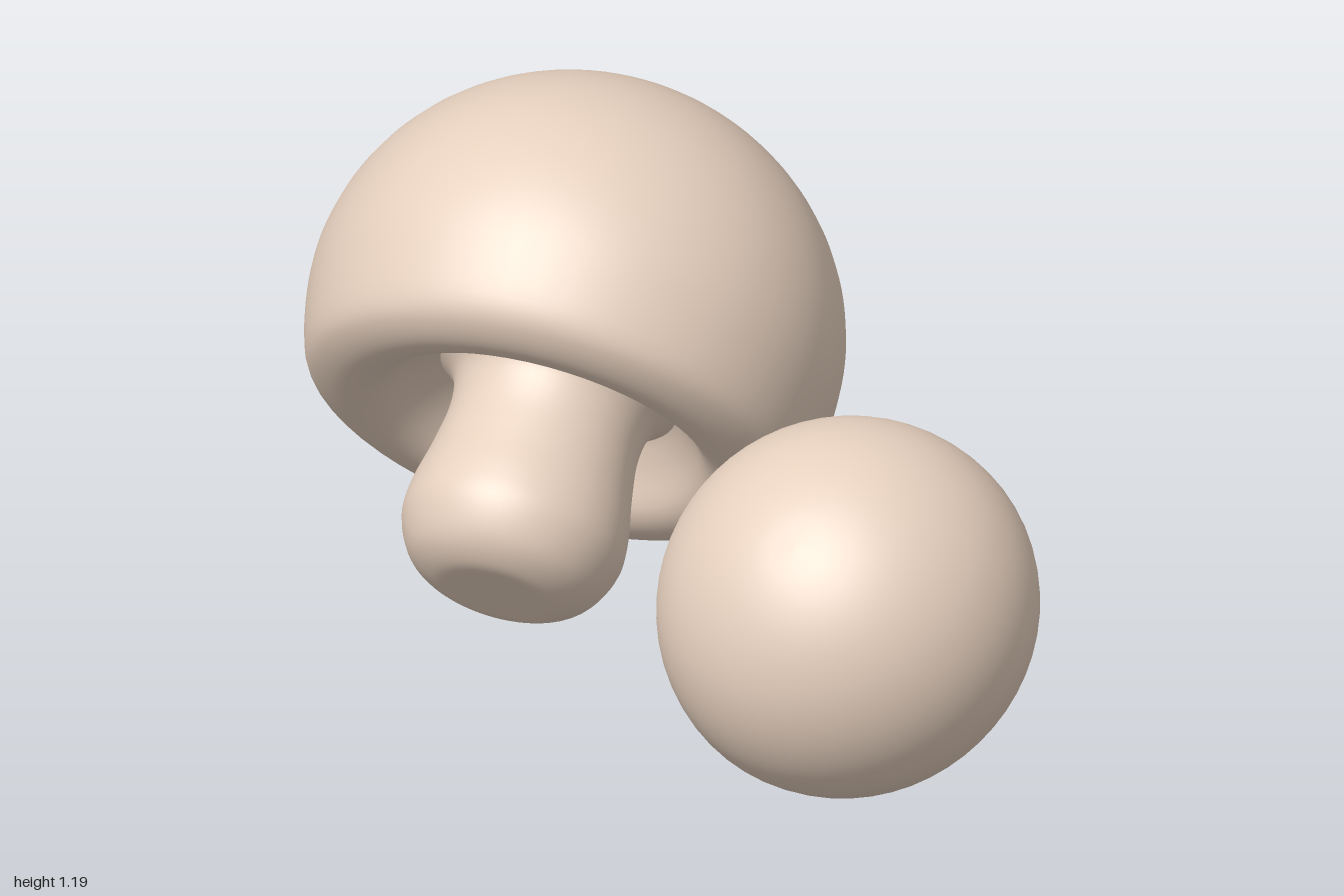
import * as THREE from 'three';

const material = new THREE.MeshStandardMaterial({ color: 0xe6d0be });

// Smooth profile through [radius, height] points, turned around the axis
function turned(name, points, samples, below) {
  const spline = new THREE.SplineCurve(points.map(([r, y]) => new THREE.Vector2(r, y < 0 ? y * below : y)));
  const profile = spline.getPoints(samples);
  profile.forEach((p) => { p.x = Math.max(p.x, 0); });
  const mesh = new THREE.Mesh(new THREE.LatheGeometry(profile, 56), material);
  mesh.name = name;
  return mesh;
}

// A mushroom with its cap centred at `centre`, leaning along `axis`;
// `below` stretches everything under the widest part of the cap
function mushroom(name, centre, axis, scale, below) {
  const group = new THREE.Group();
  group.name = name;

  // Cap: hollow underside, rounded lip, dome
  const cap = [[0.1, -0.1], [0.24, -0.12], [0.32, -0.18], [0.39, -0.255], [0.46, -0.275],
    [0.53, -0.255], [0.574, -0.21], [0.602, -0.11]];
  for (let i = 0; i <= 8; i++) {
    const a = (i / 8) * Math.PI / 2;
    cap.push([0.615 * Math.cos(a), 0.588 * Math.sin(a)]);
  }
  group.add(turned('cap', cap, 72, below));

  // Stem: flat foot, rounded bulge, narrower neck flaring into the cap
  const stem = [[0, -0.668], [0.08, -0.668], [0.15, -0.662], [0.215, -0.62], [0.255, -0.54],
    [0.255, -0.46], [0.235, -0.36], [0.222, -0.26], [0.235, -0.18], [0.29, -0.13]];
  group.add(turned('stem', stem, 48, below));

  group.scale.setScalar(scale);
  group.position.set(...centre);
  group.quaternion.setFromUnitVectors(new THREE.Vector3(0, 1, 0), new THREE.Vector3(...axis).normalize());
  return group;
}

export function createModel() {
  const model = new THREE.Group();
  model.name = 'mushrooms';
  model.add(
    mushroom('largeMushroom', [-0.325, 0.585, -0.385], [0.13, 0.66, -0.74], 1, 1),
    mushroom('smallMushroom', [0.495, 0.38, 0.56], [-0.16, 0.66, 0.73], 0.715, 0.78),
  );
  return model;
}
